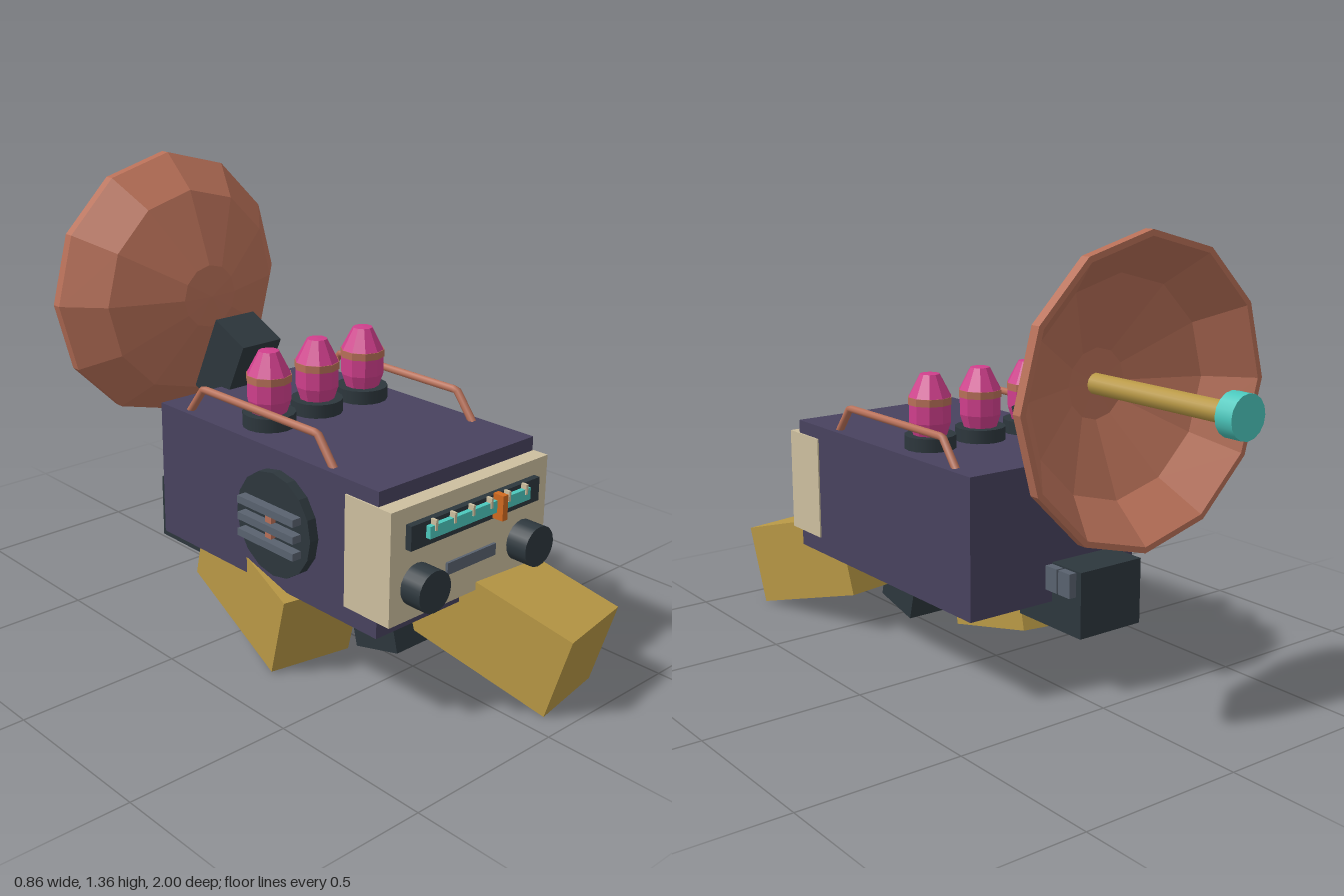
import * as THREE from 'three';

const mat = (name, color) => {
  const m = new THREE.MeshStandardMaterial({ color });
  m.name = name;
  return m;
};

export function createModel() {
  const root = new THREE.Group();
  root.name = 'radioRobot';
  const purple = mat('purple', 0x48425f), cream = mat('cream', 0xcdbf9f), dark = mat('charcoal', 0x2d373d);
  const copper = mat('copper', 0xb87058), brass = mat('brass', 0xb89845), teal = mat('teal', 0x4cc8bd);
  const pink = mat('pink', 0xd03f8c), orange = mat('orange', 0xd06a20), grey = mat('grey', 0x59626f);

  const add = (name, geo, material, x = 0, y = 0, z = 0, parent = root) => {
    const m = new THREE.Mesh(geo, material);
    m.name = name;
    m.position.set(x, y, z);
    parent.add(m);
    return m;
  };
  // Box given by its extents on each axis
  const box = (name, material, [x0, x1], [y0, y1], [z0, z1], parent = root) =>
    add(name, new THREE.BoxGeometry(x1 - x0, y1 - y0, z1 - z0), material,
      (x0 + x1) / 2, (y0 + y1) / 2, (z0 + z1) / 2, parent);
  const faceted = (geo) => {
    const g = geo.toNonIndexed();
    g.computeVertexNormals();
    return g;
  };
  const lathe = (pts, sides) =>
    faceted(new THREE.LatheGeometry(pts.map(([r, h]) => new THREE.Vector2(r, h)), sides));

  // Body and front panel
  box('body', purple, [-0.305, 0.305], [0.26, 0.68], [-0.28, 0.65]);
  box('frontPanel', cream, [-0.31, 0.31], [0.312, 0.638], [0.53, 0.7]);

  // Tuning dial
  box('dialFrame', dark, [-0.255, 0.255], [0.522, 0.592], [0.69, 0.72]);
  box('dialStrip', teal, [-0.2, 0.2], [0.545, 0.58], [0.715, 0.735]);
  for (let i = 0; i < 6; i++) {
    const x = -0.18 + i * 0.072;
    box('dialTick', cream, [x - 0.004, x + 0.004], [0.565, 0.595], [0.72, 0.739]);
  }
  box('dialNeedle', orange, [0.061, 0.081], [0.525, 0.598], [0.72, 0.755]);
  box('panelSlot', grey, [-0.098, 0.096], [0.4, 0.435], [0.69, 0.708]);
  for (const s of [-1, 1]) {
    const knob = new THREE.CylinderGeometry(0.06, 0.06, 0.08, 20).rotateX(Math.PI / 2);
    add('knob', knob, dark, s * 0.21, 0.41, 0.728);
  }

  // Side speaker with a bar grille
  const speaker = new THREE.CylinderGeometry(0.155, 0.155, 0.04, 16).rotateZ(Math.PI / 2);
  add('speaker', faceted(speaker), dark, -0.315, 0.47, 0.268);
  for (const y of [0.42, 0.47, 0.52]) {
    box('speakerBar', grey, [-0.365, -0.33], [y - 0.011, y + 0.011], [0.15, 0.385]);
  }
  box('speakerStrut', copper, [-0.352, -0.33], [0.435, 0.51], [0.255, 0.28]);

  // Top handles
  for (const s of [-1, 1]) {
    const pts = [[0.45, 0.675], [0.385, 0.758], [-0.11, 0.758], [-0.175, 0.675]]
      .map(([z, y]) => new THREE.Vector3(s * 0.275, y, z));
    const path = new THREE.CurvePath();
    for (let i = 0; i < 3; i++) path.add(new THREE.LineCurve3(pts[i], pts[i + 1]));
    add('handle', new THREE.TubeGeometry(path, 48, 0.012, 8), copper);
  }

  // Signal lamps
  for (const x of [-0.185, 0, 0.185]) {
    const lamp = new THREE.Group();
    lamp.name = 'lamp';
    lamp.position.set(x, 0.68, 0.08);
    root.add(lamp);
    add('lampBase', new THREE.CylinderGeometry(0.078, 0.078, 0.05, 16), dark, 0, 0.016, 0, lamp);
    add('lampBulb', lathe([[0, 0.03], [0.052, 0.04], [0.065, 0.08], [0.065, 0.155],
      [0.03, 0.222], [0, 0.224]], 10), pink, 0, 0, 0, lamp);
    add('lampBand', faceted(new THREE.CylinderGeometry(0.067, 0.067, 0.022, 10)), copper, 0, 0.144, 0, lamp);
  }

  // Neck and dish, opening towards the back
  const neck = add('neck', new THREE.BoxGeometry(0.15, 0.262, 0.145), dark, 0, 0.742, -0.29);
  neck.rotation.x = 0.437;
  const dish = new THREE.Group();
  dish.name = 'dish';
  dish.position.set(0, 0.93, -0.413);
  dish.rotation.x = -Math.PI / 2;
  root.add(dish);
  add('dishBowl', lathe([[0, 0], [0.1, 0.01], [0.325, 0.1], [0.43, 0.213], [0.43, 0.243],
    [0.413, 0.243], [0.31, 0.125], [0.1, 0.035], [0, 0.03]], 12), copper, 0, 0, 0, dish);
  add('feedRod', new THREE.CylinderGeometry(0.03, 0.03, 0.52, 12), brass, 0, 0.28, 0, dish);
  add('feedCap', new THREE.CylinderGeometry(0.06, 0.06, 0.055, 16), teal, 0, 0.559, 0, dish);

  // Feet: one forward, one back, both toed out
  for (const [s, z] of [[1, 0.715], [-1, 0.085]]) {
    const foot = add('foot', new THREE.BoxGeometry(0.265, 0.26, 0.475), brass, s * 0.165, 0.19, z);
    foot.rotation.set(0.278, s * 0.175, 0, 'YXZ');
  }

  // Underside joint and its tilted lower block
  box('underJoint', dark, [-0.085, 0.085], [0.18, 0.3], [0.222, 0.46]);
  const strut = add('underStrut', new THREE.BoxGeometry(0.17, 0.2, 0.17), dark, 0, 0.155, 0.41);
  strut.rotation.x = -0.25;

  // Rear battery block with two small side contacts
  box('rearBlock', dark, [-0.22, 0.01], [0.18, 0.38], [-0.408, -0.13]);
  for (const z of [-0.305, -0.362]) {
    box('rearContact', grey, [0, 0.035], [0.302, 0.375], [z - 0.025, z + 0.025]);
  }
  return root;
}
